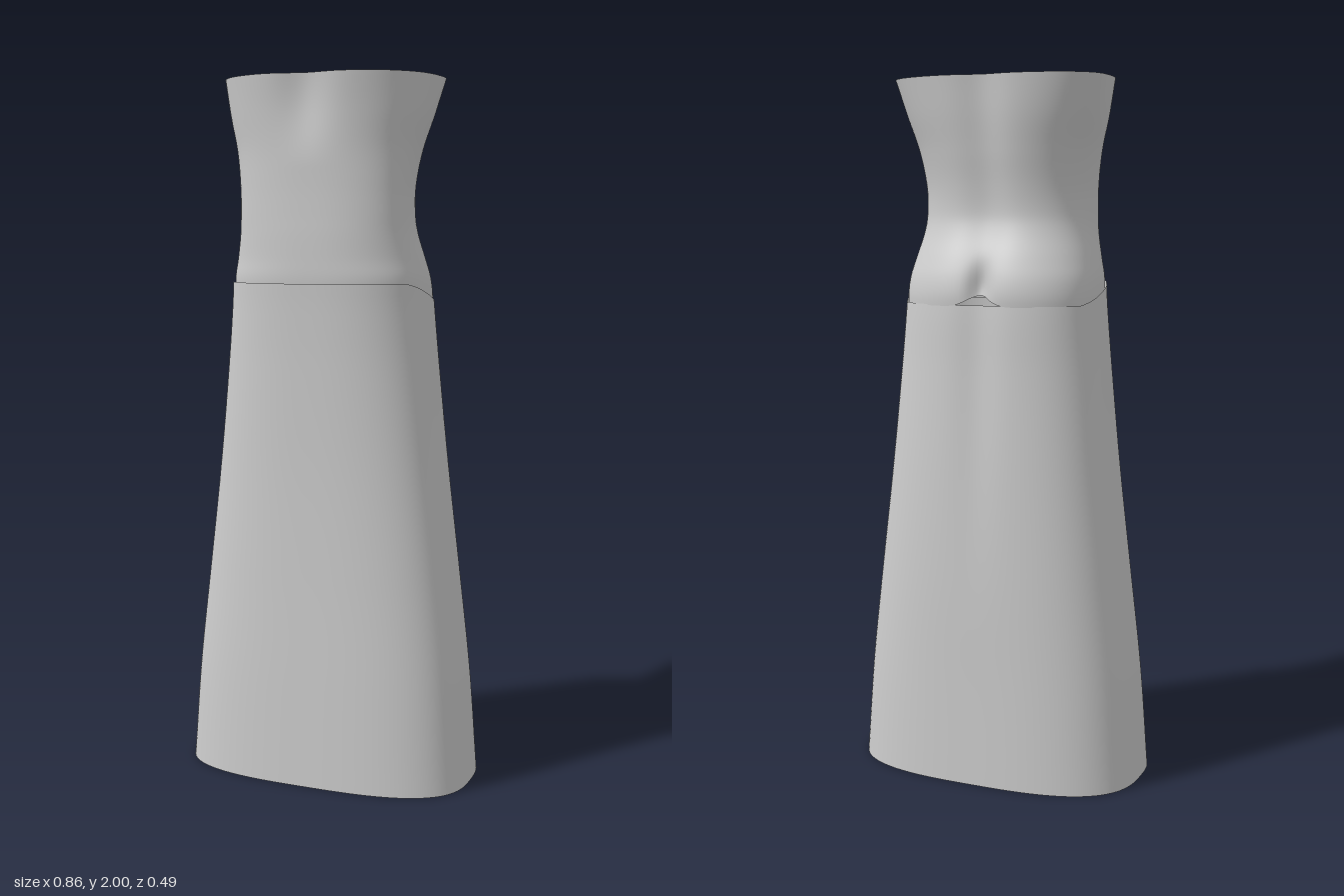
import * as THREE from 'three';

const SEGMENTS = 128;

// Smoothly interpolate one column of a section table sorted by rising y
function sample(rows, y, col) {
  let i = 0;
  while (i < rows.length - 2 && y > rows[i + 1][0]) i++;
  const a = rows[Math.max(i - 1, 0)], b = rows[i], c = rows[i + 1], d = rows[Math.min(i + 2, rows.length - 1)];
  const h = c[0] - b[0], t = THREE.MathUtils.clamp((y - b[0]) / h, 0, 1);
  const m0 = (c[col] - a[col]) / (c[0] - a[0]) * h, m1 = (d[col] - b[col]) / (d[0] - b[0]) * h;
  return (2 * t ** 3 - 3 * t * t + 1) * b[col] + (t ** 3 - 2 * t * t + t) * m0
    + (3 * t * t - 2 * t ** 3) * c[col] + (t ** 3 - t * t) * m1;
}

const bump = (v, centre, width) => Math.exp(-(((v - centre) / width) ** 2));

// Open tube through rounded cross-sections; range(a) gives the bottom and top y, fold(x, y, front) shifts z
function loft(rows, steps, range, fold) {
  const positions = [], indices = [];
  for (let j = 0; j <= steps; j++) {
    for (let i = 0; i < SEGMENTS; i++) {
      const a = i / SEGMENTS * Math.PI * 2, c = Math.cos(a), s = Math.sin(a);
      const [y0, y1] = range(s, c);
      const y = y0 + (y1 - y0) * j / steps;
      const [w, front, back, mid, n] = [1, 2, 3, 4, 5].map(k => sample(rows, y, k));
      const r = (Math.abs(c) ** n + Math.abs(s) ** n) ** (-1 / n);
      const x = w * c * r;
      const z = mid + (s > 0 ? front - mid : mid - back) * s * r;
      positions.push(x, y, z + fold(x, y, s));
      if (j < steps) {
        const p = j * SEGMENTS + i, q = j * SEGMENTS + (i + 1) % SEGMENTS;
        indices.push(p, p + SEGMENTS, q, q, p + SEGMENTS, q + SEGMENTS);
      }
    }
  }
  const g = new THREE.BufferGeometry();
  g.setAttribute('position', new THREE.Float32BufferAttribute(positions, 3));
  g.setIndex(indices);
  g.computeVertexNormals();
  return g;
}

// Sections: y, half width, front z, back z, z of the widest point, roundness
const SKIRT = [
  [0, 0.428, 0.243, -0.242, 0.02, 2.9],
  [0.3, 0.404, 0.232, -0.234, 0.02, 2.9],
  [0.6, 0.37, 0.221, -0.228, 0.02, 2.8],
  [0.9, 0.335, 0.215, -0.218, 0.02, 2.7],
  [1.2, 0.305, 0.218, -0.205, 0.02, 2.6],
  [1.37, 0.289, 0.224, -0.199, 0.02, 2.6],
  [1.435, 0.285, 0.228, -0.19, 0.02, 2.6],
];
const BODICE = [
  [1.35, 0.284, 0.205, -0.2, 0.02, 2.5],
  [1.4, 0.284, 0.207, -0.203, 0.02, 2.5],
  [1.45, 0.28, 0.212, -0.195, 0.03, 2.5],
  [1.5, 0.27, 0.213, -0.178, 0.04, 2.4],
  [1.57, 0.255, 0.214, -0.146, 0.06, 2.4],
  [1.62, 0.25, 0.214, -0.133, 0.07, 2.4],
  [1.7, 0.25, 0.215, -0.136, 0.07, 2.4],
  [1.8, 0.264, 0.219, -0.152, 0.05, 2.4],
  [1.9, 0.29, 0.227, -0.168, 0.02, 2.5],
  [2, 0.312, 0.24, -0.18, -0.02, 2.6],
];

export function createModel() {
  const dress = new THREE.Group();
  dress.name = 'dress';
  const cloth = new THREE.MeshStandardMaterial({ color: 0xcccccc, side: THREE.DoubleSide });
  cloth.name = 'grey cloth';
  const add = (name, geometry) => {
    const mesh = new THREE.Mesh(geometry, cloth);
    mesh.name = name;
    dress.add(mesh);
  };

  // Skirt: waist edge higher in front, shallow fold down the middle of the back
  add('skirt', loft(SKIRT, 48,
    s => [0, 1.405 + 0.03 * THREE.MathUtils.clamp(s * 2, -1, 1)],
    (x, y, s) => s < 0 ? 0.014 * bump(x, 0, 0.06) * THREE.MathUtils.smoothstep(y, 0.4, 1.35) : 0));

  // Bodice: scalloped lower back edge, dip between the bust, spine and seat creases
  add('bodice', loft(BODICE, 48,
    (s, c) => [s < 0 ? 1.372 + 0.03 * bump(c, 0, 0.16) : 1.372, 2],
    (x, y, s) => s > 0
      ? -0.026 * bump(x, 0, 0.07) * THREE.MathUtils.smoothstep(y, 1.75, 2)
      : 0.012 * bump(x, 0, 0.06) + 0.008 * bump(x, 0, 0.08) * THREE.MathUtils.smoothstep(y, 1.7, 2)
        + 0.028 * bump(x, 0, 0.025) * bump(y, 1.42, 0.06)));

  return dress;
}
